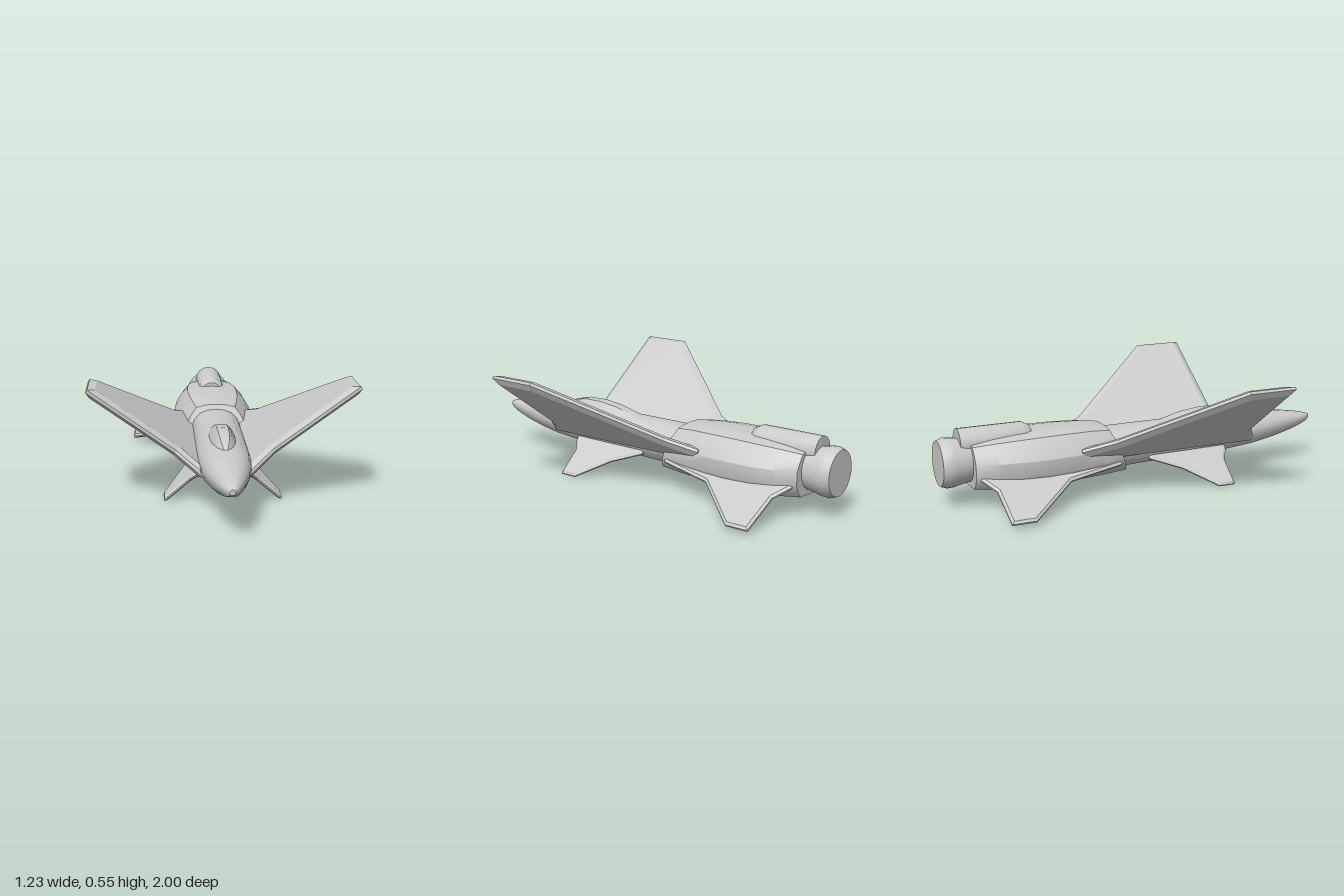
import * as THREE from 'three';
import { toCreasedNormals } from 'three/addons/utils/BufferGeometryUtils.js';

const material = new THREE.MeshStandardMaterial({ color: 0xcccccc });

function part(name, geometry, crease = 0.5) {
  const mesh = new THREE.Mesh(toCreasedNormals(geometry, crease), material);
  mesh.name = name;
  return mesh;
}

// Skin over sections [z, halfWidth, top, middle, bottom, slant], nose to tail.
// half: right-hand outline from top (0, 1) to bottom (0, -1), mirrored to a ring.
function loft(half, sections) {
  const ring = [...half, ...half.slice(1, -1).reverse().map(([u, v]) => [-u, v])];
  const n = ring.length, pos = [], index = [];
  for (const [z, w, top, mid, bottom, slant = 0] of sections) {
    for (const [u, v] of ring) {
      const y = mid + v * (v > 0 ? top - mid : mid - bottom);
      pos.push(u * w, y, z + slant * (top - y));
    }
  }
  const last = sections.length - 1;
  for (let i = 0; i < last; i++) {
    for (let j = 0; j < n; j++) {
      const a = i * n + j, b = i * n + (j + 1) % n;
      index.push(a, b, a + n, b, b + n, a + n);
    }
  }
  // end caps
  for (const i of [0, last]) {
    const [z, , top, mid, , slant = 0] = sections[i];
    const c = pos.length / 3;
    pos.push(0, mid, z + slant * (top - mid));
    for (let j = 0; j < n; j++) {
      const a = i * n + j, b = i * n + (j + 1) % n;
      if (i === 0) index.push(c, b, a);
      else index.push(c, a, b);
    }
  }
  const g = new THREE.BufferGeometry();
  g.setAttribute('position', new THREE.Float32BufferAttribute(pos, 3));
  g.setIndex(index);
  return g;
}

// Bevelled plate from a plan outline of [x, z], tilted about its root point.
function fin(name, side, plan, rootX, rootY, slope, thickness, bevel) {
  const angle = Math.atan(slope), cos = Math.cos(angle);
  const shape = new THREE.Shape(
    plan.map(([x, z]) => new THREE.Vector2(side * (x - rootX) / cos, z)));
  const core = thickness * 0.3, bevelThickness = thickness * 0.35;
  const g = new THREE.ExtrudeGeometry(shape, {
    depth: core, bevelThickness, bevelSize: bevel, bevelOffset: -bevel, bevelSegments: 1,
  });
  g.translate(0, 0, -core / 2);
  g.rotateX(Math.PI / 2);
  g.rotateZ(side * angle);
  g.translate(side * rootX, rootY, 0);
  return part(name, g, 0.2);
}

// Turned solid along z from [radius, z] points
function turned(name, profile, y, segments) {
  const g = new THREE.LatheGeometry(
    profile.map(([r, z]) => new THREE.Vector2(r, z)), segments);
  g.rotateX(Math.PI / 2);
  g.translate(0, y, 0);
  return part(name, g);
}

export function createModel() {
  const model = new THREE.Group();
  model.name = 'jet';

  // Slim fuselage with rounded back and flat belly
  const hull = [[0, 1], [0.35, 0.96], [0.66, 0.8], [0.9, 0.48], [1, 0.15],
    [1, -0.2], [0.86, -0.62], [0.62, -0.92], [0, -1]];
  model.add(part('fuselage', loft(hull, [
    [1, 0.012, 0.246, 0.235, 0.222],
    [0.98, 0.026, 0.253, 0.235, 0.21],
    [0.93, 0.044, 0.264, 0.234, 0.193],
    [0.85, 0.066, 0.277, 0.231, 0.174],
    [0.75, 0.09, 0.289, 0.226, 0.156],
    [0.62, 0.111, 0.299, 0.22, 0.138],
    [0.48, 0.12, 0.302, 0.215, 0.128],
    [0.25, 0.122, 0.302, 0.212, 0.122],
    [0, 0.122, 0.302, 0.212, 0.115],
    [-0.3, 0.122, 0.302, 0.212, 0.105],
  ])));

  // Canopy, pointed at both ends
  const glass = [[0, 1], [0.4, 0.97], [0.6, 0.75], [0.85, 0.3], [1, 0], [1, -0.5], [0, -1]];
  model.add(part('canopy', loft(glass, [
    [0.59, 0.02, 0.3, 0.28, 0.25],
    [0.54, 0.045, 0.326, 0.28, 0.25],
    [0.46, 0.06, 0.345, 0.28, 0.25],
    [0.36, 0.066, 0.346, 0.28, 0.25],
    [0.25, 0.066, 0.332, 0.28, 0.25],
    [0.13, 0.06, 0.3, 0.28, 0.25],
  ])));

  // Wide engine body with a raked front lip
  const cowl = [[0, 1], [0.35, 0.97], [0.66, 0.87], [0.86, 0.5], [1, 0.12],
    [1, -0.4], [0.9, -0.7], [0.72, -0.93], [0, -1]];
  model.add(part('engineBody', loft(cowl, [
    [-0.19, 0.148, 0.326, 0.22, 0.1, 0.4],
    [-0.28, 0.172, 0.337, 0.22, 0.095, 0.25],
    [-0.4, 0.192, 0.342, 0.22, 0.09],
    [-0.52, 0.198, 0.342, 0.22, 0.087],
    [-0.64, 0.192, 0.338, 0.22, 0.088],
    [-0.76, 0.17, 0.33, 0.22, 0.092],
    [-0.86, 0.138, 0.318, 0.22, 0.1],
  ])));

  // Spine pod and tail nozzle
  model.add(turned('spinePod',
    [[0, -0.907], [0.07, -0.907], [0.07, -0.595], [0.052, -0.56], [0, -0.56]], 0.308, 20));
  model.add(turned('nozzle',
    [[0, -1], [0.107, -1], [0.118, -0.97], [0.116, -0.94], [0.094, -0.83], [0, -0.83]], 0.222, 24));

  // Plan outlines as [x, z]
  const wingPlan = [[0.09, 0.615], [0.22, 0.525], [0.61, 0.525], [0.61, 0.285],
    [0.245, -0.21], [0.185, -0.36], [0.09, -0.36]];
  const canardPlan = [[0.08, 0.45], [0.12, 0.44], [0.16, 0.41], [0.272, 0.41],
    [0.272, 0.325], [0.175, 0.17], [0.115, 0.02], [0.08, 0.02]];
  const tailPlan = [[0.12, -0.84], [0.145, -0.84], [0.225, -0.79], [0.425, -0.79],
    [0.425, -0.675], [0.22, -0.43], [0.16, -0.15], [0.12, -0.13]];

  for (const side of [1, -1]) {
    const prefix = side > 0 ? 'left' : 'right';
    model.add(fin(prefix + 'Wing', side, wingPlan, 0.12, 0.205, 0.72, 0.046, 0.03));
    model.add(fin(prefix + 'FrontFin', side, canardPlan, 0.115, 0.147, -0.85, 0.022, 0.012));
    model.add(fin(prefix + 'TailFin', side, tailPlan, 0.16, 0.152, -0.45, 0.024, 0.012));
  }
  return model;
}
